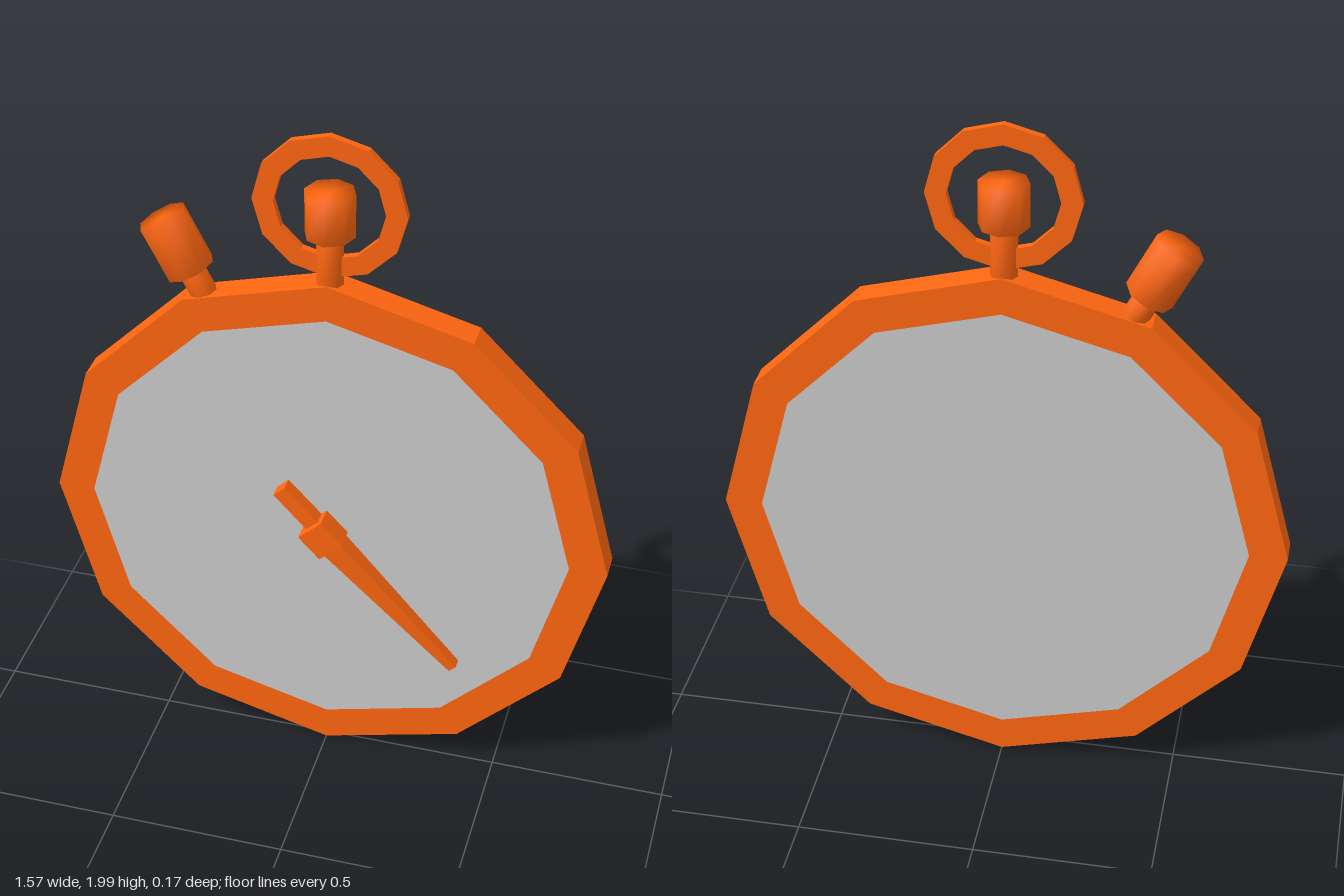
import * as THREE from 'three';
import { mergeVertices } from 'three/addons/utils/BufferGeometryUtils.js';

const MID_Z = -0.02;    // centre plane of the case
const FRONT_Z = 0.02;   // front of the case
const CENTRE_Y = 0.793;

const orange = new THREE.MeshStandardMaterial({ color: 0xff6610, flatShading: true });
const orangeSmooth = new THREE.MeshStandardMaterial({ color: 0xff6610 });
const grey = new THREE.MeshStandardMaterial({ color: 0xcccccc, flatShading: true });

function addMesh(parent, name, geometry, material) {
  const mesh = new THREE.Mesh(geometry, material);
  mesh.name = name;
  parent.add(mesh);
  return mesh;
}

// Twelve-sided outline with a corner straight up
function polygon(radius) {
  return Array.from({ length: 12 }, (_, i) => {
    const a = Math.PI / 2 + (i * Math.PI) / 6;
    return new THREE.Vector2(radius * Math.cos(a), radius * Math.sin(a));
  });
}

// Flat twelve-sided band, centred on z = 0
function band(outer, inner, depth) {
  const shape = new THREE.Shape(polygon(outer));
  shape.holes.push(new THREE.Path(polygon(inner)));
  return new THREE.ExtrudeGeometry(shape, { depth, bevelEnabled: false }).translate(0, 0, -depth / 2);
}

// Eight-sided cylinder with normals shared across the caps, from y0 to y1
function softCylinder(radius, y0, y1) {
  const g = new THREE.CylinderGeometry(radius, radius, y1 - y0, 8).translate(0, (y0 + y1) / 2, 0);
  g.deleteAttribute('normal');
  g.deleteAttribute('uv');
  const merged = mergeVertices(g);
  merged.computeVertexNormals();
  return merged;
}

// Stem and cap, standing on its own origin
function makeButton(name, stemLength, capLength) {
  const button = new THREE.Group();
  button.name = name;
  addMesh(button, 'buttonStem', softCylinder(0.037, -0.02, stemLength + 0.01), orangeSmooth);
  addMesh(button, 'buttonCap', softCylinder(0.068, stemLength, stemLength + capLength), orangeSmooth);
  return button;
}

// Bar along +x that narrows in width and height toward its tip
function taperedBar(length, rootWidth, tipWidth, rootHeight, tipHeight) {
  const g = new THREE.BoxGeometry(length, 1, 1).translate(length / 2, 0, 0.5);
  const p = g.attributes.position;
  for (let i = 0; i < p.count; i++) {
    const t = p.getX(i) / length;
    p.setY(i, p.getY(i) * THREE.MathUtils.lerp(rootWidth, tipWidth, t));
    p.setZ(i, p.getZ(i) * THREE.MathUtils.lerp(rootHeight, tipHeight, t));
  }
  g.computeVertexNormals();
  return g;
}

export function createModel() {
  const model = new THREE.Group();
  model.name = 'stopwatch';

  // Case rim and the dial that fills it, flush on both sides
  addMesh(model, 'caseRim', band(0.787, 0.682, 0.08), orange).position.set(0, CENTRE_Y, MID_Z);
  const dial = new THREE.ExtrudeGeometry(new THREE.Shape(polygon(0.682)), { depth: 0.08, bevelEnabled: false });
  addMesh(model, 'dial', dial.translate(0, 0, -0.04), grey).position.set(0, CENTRE_Y, MID_Z);

  // Carrying ring
  addMesh(model, 'carryingRing', band(0.205, 0.148, 0.02), orange).position.set(0, 1.795, MID_Z);

  // Crown and tilted side button
  const crown = makeButton('crown', 0.14, 0.123);
  crown.position.set(0, 1.575, MID_Z);
  const sideButton = makeButton('sideButton', 0.08, 0.163);
  sideButton.position.set(-0.342, 1.479, MID_Z);
  sideButton.rotation.z = THREE.MathUtils.degToRad(27);
  model.add(crown, sideButton);

  // Hand with hub, pointer and tail
  const hand = new THREE.Group();
  hand.name = 'hand';
  hand.position.set(0, CENTRE_Y, FRONT_Z);
  hand.rotation.z = THREE.MathUtils.degToRad(-47);
  addMesh(hand, 'hub', new THREE.BoxGeometry(0.088, 0.088, 0.064).translate(0, 0, 0.032), orange);
  addMesh(hand, 'pointer', taperedBar(0.555, 0.07, 0.027, 0.053, 0.031), orange);
  addMesh(hand, 'tail', taperedBar(0.18, 0.046, 0.044, 0.04, 0.04), orange).rotation.z = Math.PI;
  model.add(hand);

  return model;
}
